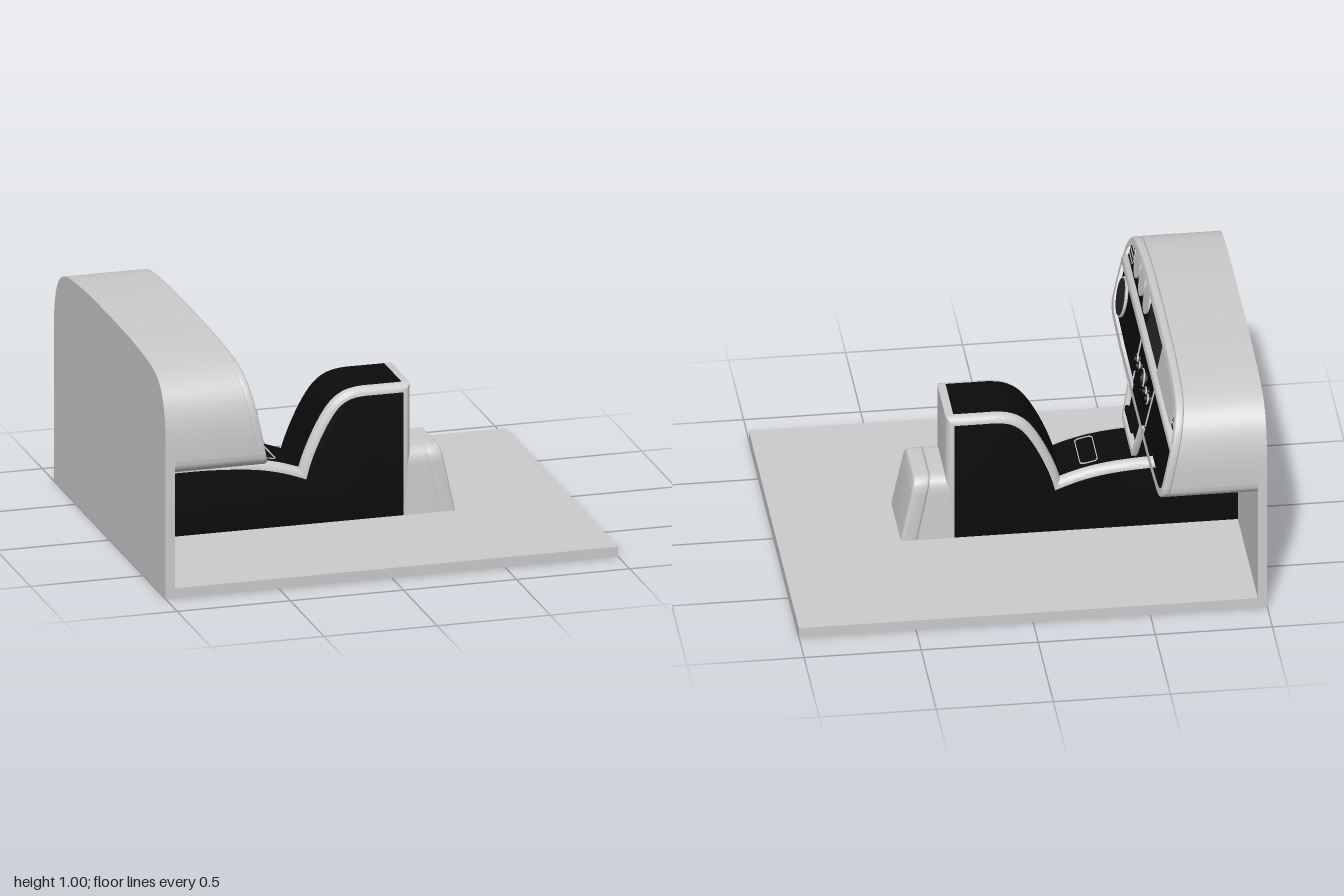
import * as THREE from 'three';
import { toCreasedNormals } from 'three/addons/utils/BufferGeometryUtils.js';

const mat = (color) => new THREE.MeshStandardMaterial({ color });
const grey = mat(0xcccccc), black = mat(0x0b0b0b), dark = mat(0x262626);
const SLOPE = 0.205;
const faceX = (y) => -0.635 + SLOPE * (1 - y); // raked face of the dashboard
const REAR = 0.918; // shift from the dashboard face to the rear console face

const V = (x, y) => new THREE.Vector2(x, y);
const poly = (...p) => new THREE.Shape(p.map(([x, y]) => V(x, y)));

function roundRect(x0, y0, x1, y1, r) {
  const s = new THREE.Shape();
  s.absarc(x1 - r, y0 + r, r, -Math.PI / 2, 0);
  s.absarc(x1 - r, y1 - r, r, 0, Math.PI / 2);
  s.absarc(x0 + r, y1 - r, r, Math.PI / 2, Math.PI);
  s.absarc(x0 + r, y0 + r, r, Math.PI, Math.PI * 1.5);
  return s;
}

// Half outline of the dashboard, mirrored; toFloor gives the firewall
function dashShape(inset = 0, toFloor = false) {
  const path = new THREE.Path().moveTo(0, 1).lineTo(0.3, 0.997);
  path.bezierCurveTo(0.45, 0.99, 0.58, 0.985, 0.66, 0.965);
  path.bezierCurveTo(0.79, 0.935, 0.825, 0.83, 0.83, 0.68);
  if (toFloor) path.lineTo(0.83, 0).lineTo(0, 0);
  else {
    path.lineTo(0.83, 0.61).bezierCurveTo(0.83, 0.56, 0.8, 0.545, 0.73, 0.537);
    path.lineTo(0.5, 0.527).lineTo(0, 0.525);
  }
  const sx = (0.83 - inset) / 0.83, sy = (0.2375 - inset) / 0.2375, cy = 0.7625;
  const half = path.getPoints(14).map((p) => V(p.x * sx, cy + (p.y - cy) * sy));
  const other = half.slice(1, -1).reverse().map((p) => V(-p.x, p.y));
  return new THREE.Shape([...half, ...other]);
}

// Extrudes a (-z, y) outline along x, raked like the dashboard face.
// With back set, the rear end is flat at that x.
function slab(name, shape, d0, d1, material, bevel = 0, back) {
  const g = new THREE.ExtrudeGeometry(shape, {
    depth: d1 - d0 - 2 * bevel, curveSegments: 16, bevelEnabled: bevel > 0,
    bevelSize: bevel, bevelThickness: bevel, bevelOffset: -bevel, bevelSegments: 4,
  });
  const p = g.attributes.position;
  for (let i = 0; i < p.count; i++) {
    const a = p.getX(i), y = p.getY(i), d = p.getZ(i);
    const flat = back !== undefined && d < 1e-6;
    p.setXYZ(i, flat ? back : faceX(y) + d0 + bevel + d, y, -a);
  }
  const m = new THREE.Mesh(toCreasedNormals(g, 0.6), material);
  m.name = name;
  return m;
}

// Group lying on the raked face, its local z pointing out
function onFace(name, y, z, off, ...meshes) {
  const g = new THREE.Group();
  g.name = name;
  g.position.set(faceX(y) + off, y, z);
  g.rotation.set(-Math.atan(SLOPE), Math.PI / 2, 0, 'YXZ');
  g.add(...meshes);
  return g;
}
const disc = (r, h, material) =>
  new THREE.Mesh(new THREE.CylinderGeometry(r, r, h, 40).rotateX(Math.PI / 2), material);
const ring = (r, t) => new THREE.Mesh(new THREE.TorusGeometry(r, t, 8, 48), grey);
function box(name, w, h, d, x, y, z, material) {
  const m = new THREE.Mesh(new THREE.BoxGeometry(w, h, d), material);
  m.name = name;
  m.position.set(x, y, z);
  return m;
}

function buildDashboard() {
  const g = new THREE.Group();
  g.name = 'dashboard';
  g.add(slab('dashBody', dashShape(), -0.05, -0.035, grey, 0, -0.96));
  const rim = dashShape();
  rim.holes.push(dashShape(0.024));
  g.add(slab('dashRim', rim, -0.036, 0, grey, 0.009));
  g.add(slab('dashPanel', dashShape(0.018), -0.04, -0.02, black));
  g.add(slab('dividerBar', roundRect(-0.812, 0.773, 0.812, 0.806, 0.01), -0.03, 0.004, grey, 0.01));
  g.add(slab('trimPanel', poly([0.19, 0.805], [0.635, 0.805], [0.635, 0.95], [0.5, 0.968], [0.19, 0.975]), -0.03, -0.014, grey));
  g.add(slab('screen', roundRect(-0.17, 0.82, 0.17, 0.965, 0.008), -0.03, -0.014, dark));
  for (const z of [0.57, 0.42, 0.27]) g.add(onFace('gauge', 0.897, z, -0.016, disc(0.064, 0.01, grey)));
  for (const z of [0.715, -0.71]) {
    const slats = [-0.026, 0, 0.026].map((y) =>
      box('ventSlat', 2 * Math.sqrt(0.05 ** 2 - y * y), 0.004, 0.006, 0, y, 0.004, grey));
    g.add(onFace('airVent', 0.87, z, -0.018, disc(0.05, 0.008, dark), ring(0.051, 0.003), ...slats));
  }
  g.add(onFace('steeringMount', 0.663, 0.695, -0.012, disc(0.08, 0.02, dark), ring(0.082, 0.007)));
  return g;
}

function buildCentreStack() {
  const g = new THREE.Group();
  g.name = 'centreStack';
  g.add(slab('stackBody', poly([-0.195, 0.54], [-0.165, 0.39], [0.165, 0.39], [0.195, 0.54]), -0.03, -0.018, black, 0, -0.96));
  // U-shaped trim below the dashboard
  g.add(slab('stackTrim', poly([-0.202, 0.54], [-0.172, 0.4], [-0.16, 0.385], [0.16, 0.385], [0.172, 0.4], [0.202, 0.54],
    [0.172, 0.54], [0.145, 0.412], [-0.145, 0.412], [-0.172, 0.54]), -0.022, 0.004, grey, 0.006));
  for (const s of [-1, 1]) {
    g.add(slab('stackSeam', poly([s * 0.222, 0.772], [s * 0.217, 0.772], [s * 0.198, 0.55], [s * 0.203, 0.55]), -0.024, -0.014, grey));
  }
  for (const [z, r] of [[0.17, 0.02], [0.108, 0.02], [0, 0.044], [-0.105, 0.02], [-0.167, 0.02]]) {
    g.add(onFace('knob', 0.665, z, -0.006, disc(r, 0.032, black), ring(r, 0.004)));
  }
  g.add(onFace('pullHandle', 0.47, 0, -0.004, box('handleBar', 0.2, 0.022, 0.036, 0, 0, 0, black)));
  return g;
}

function buildConsole() {
  const g = new THREE.Group();
  g.name = 'console';
  const curve = (...p) => new THREE.SplineCurve(p.map(([x, y]) => V(x, y)));
  const low = curve([-0.96, 0.327], [-0.78, 0.327], [-0.6, 0.325], [-0.42, 0.311], [-0.29, 0.284], [-0.18, 0.245]);
  const arm = curve([-0.18, 0.245], [-0.155, 0.33], [-0.105, 0.445], [-0.05, 0.535], [0, 0.577], [0.06, 0.592], [0.15, 0.593], [0.25, 0.593]);
  const N = 28, B = 0.035;

  // Black sides inside a rounded grey edge
  const outline = new THREE.Shape([...low.getPoints(N), ...arm.getPoints(N).slice(1), V(0.25, 0.04), V(-0.96, 0.04)]);
  const geo = new THREE.ExtrudeGeometry(outline, { depth: 0.26, bevelSize: B, bevelThickness: B, bevelSegments: 6 });
  geo.translate(0, 0, -0.13);
  const body = new THREE.Mesh(toCreasedNormals(geo, 0.6), [black, grey]);
  body.name = 'consoleBody';
  g.add(body);

  // Black pads along both top curves
  for (const [name, c] of [['trayPad', low], ['armrestPad', arm]]) {
    const at = (off) => Array.from({ length: N + 1 }, (_, i) => {
      const t = c.getTangent(i / N);
      return c.getPoint(i / N).add(V(-t.y, t.x).multiplyScalar(off));
    });
    const strip = new THREE.Shape([...at(B + 0.003), ...at(0.02).reverse()]);
    const sg = new THREE.ExtrudeGeometry(strip, { depth: 0.25, bevelEnabled: false }).translate(0, 0, -0.125);
    const pad = new THREE.Mesh(toCreasedNormals(sg, 0.6), black);
    pad.name = name;
    g.add(pad);
  }

  // Selector slot outline on the tray
  const slot = roundRect(-0.04, -0.105, 0.04, 0.105, 0.02);
  slot.holes.push(roundRect(-0.036, -0.101, 0.036, 0.101, 0.017));
  const slotMesh = new THREE.Mesh(new THREE.ExtrudeGeometry(slot, { depth: 0.012, bevelEnabled: false }).rotateX(-Math.PI / 2), grey);
  slotMesh.name = 'selectorSlot';
  slotMesh.position.set(-0.335, 0.326, 0);
  slotMesh.rotation.z = -0.2;
  g.add(slotMesh);
  return g;
}

function buildRearUnit() {
  const g = new THREE.Group();
  g.name = 'rearUnit';
  const arch = (w, top, r) => {
    const s = new THREE.Shape().moveTo(-w, 0.03).lineTo(w, 0.03).lineTo(w - 0.008, top - r);
    s.quadraticCurveTo(w - 0.012, top, w - r, top).lineTo(r - w, top);
    return s.quadraticCurveTo(0.012 - w, top, 0.008 - w, top - r).lineTo(-w, 0.03);
  };
  g.add(slab('rearBody', arch(0.167, 0.335, 0.07), REAR - 0.08, REAR - 0.07, grey, 0, 0.25));
  const frame = arch(0.167, 0.335, 0.07);
  frame.holes.push(poly([-0.126, 0.032], [0.126, 0.032], [0.118, 0.27], [0.09, 0.3], [-0.09, 0.3], [-0.118, 0.27]));
  g.add(slab('rearFrame', frame, REAR - 0.071, REAR, grey, 0.012));
  const panel = arch(0.135, 0.31, 0.04);
  const bowlMat = mat(0xcccccc);
  bowlMat.side = THREE.DoubleSide;
  for (const z of [-0.06, 0.06]) {
    panel.holes.push(new THREE.Path().absarc(z, 0.205, 0.04, 0, Math.PI * 2));
    const bowl = new THREE.Mesh(new THREE.SphereGeometry(0.041, 32, 12, 0, Math.PI * 2, 0, Math.PI / 2), bowlMat);
    bowl.rotation.x = -Math.PI / 2;
    g.add(onFace('rearVent', 0.205, z, REAR - 0.02, bowl, ring(0.041, 0.003)));
  }
  g.add(slab('rearPanel', panel, REAR - 0.03, REAR - 0.02, dark));
  return g;
}

export function createModel() {
  const model = new THREE.Group();
  model.name = 'cockpitMockup';
  model.add(box('floor', 2, 0.045, 1.66, 0, 0.0225, 0, grey));

  // Upright firewall behind the dashboard
  const wall = new THREE.ExtrudeGeometry(dashShape(0, true), { depth: 0.04, bevelEnabled: false });
  wall.rotateY(Math.PI / 2).translate(-1, 0, 0);
  const firewall = new THREE.Mesh(toCreasedNormals(wall, 0.6), grey);
  firewall.name = 'firewall';
  model.add(firewall, buildDashboard(), buildCentreStack(), buildConsole(), buildRearUnit());
  return model;
}
